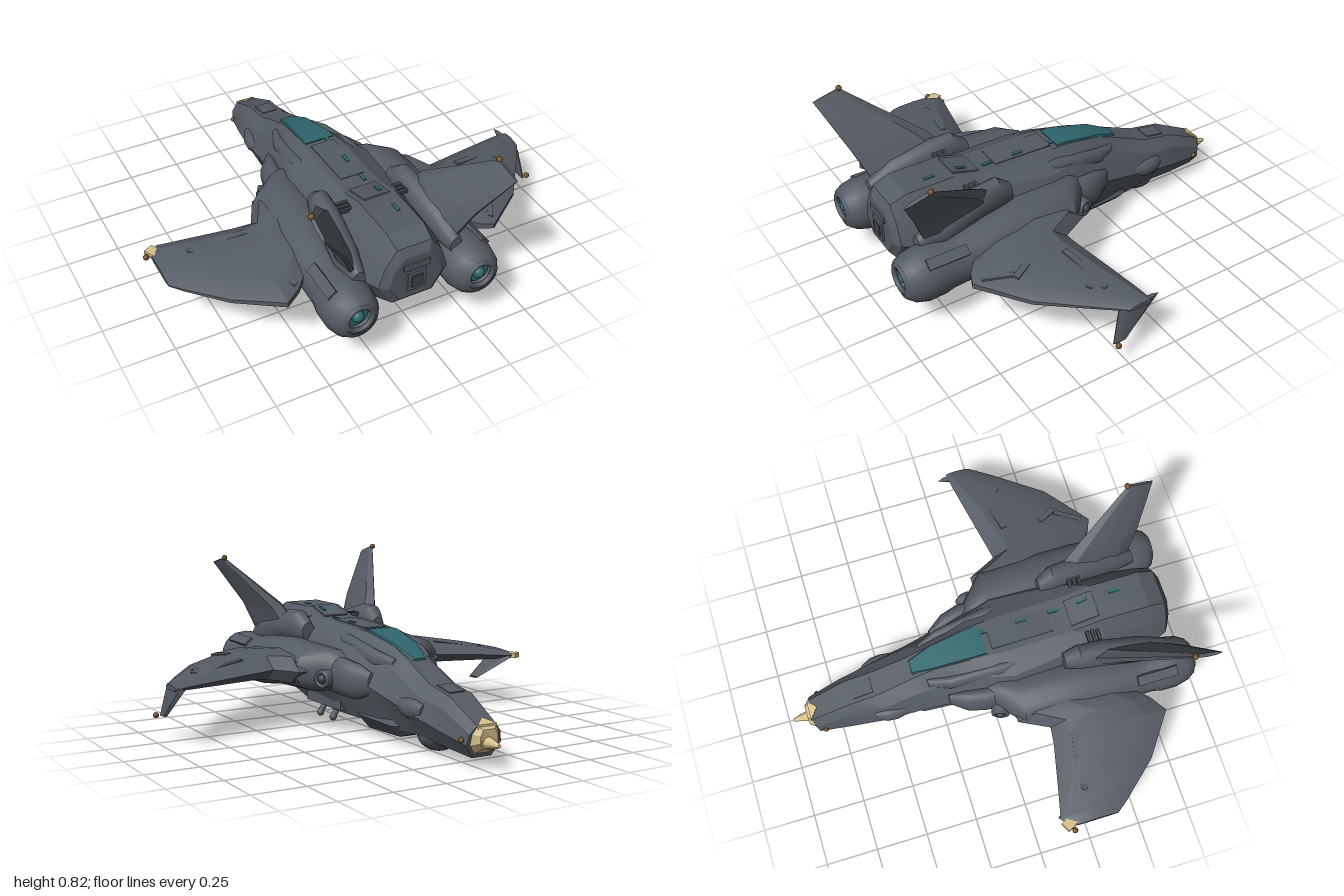
import * as THREE from 'three';
import { toCreasedNormals } from 'three/addons/utils/BufferGeometryUtils.js';

const mat = (color) => new THREE.MeshStandardMaterial({ color });
const hull = mat(0x555b63), dark = mat(0x3f444b), teal = mat(0x2f666e);
const cream = mat(0xd9c08c), amber = mat(0x6e4c22);
const V = (x, y, z) => new THREE.Vector3(x, y, z);

// Skin a row of equal-sized rings, cap both ends, and keep the faces outward
function loft(rings, crease = 0.5) {
  const n = rings[0].length, pts = rings.flat(), idx = [];
  for (let i = 0; i < rings.length - 1; i++)
    for (let j = 0; j < n; j++) {
      const a = i * n + j, b = i * n + (j + 1) % n;
      idx.push(a, b, a + n, b, b + n, a + n);
    }
  const e = (rings.length - 1) * n;
  for (let j = 1; j < n - 1; j++) idx.push(0, j + 1, j, e, e + j, e + j + 1);
  let volume = 0;
  for (let k = 0; k < idx.length; k += 3)
    volume += pts[idx[k]].dot(V(0, 0, 0).crossVectors(pts[idx[k + 1]], pts[idx[k + 2]]));
  if (volume < 0) idx.reverse();
  const g = new THREE.BufferGeometry().setFromPoints(pts);
  g.setIndex(idx);
  return toCreasedNormals(g, crease);
}

function add(parent, name, geometry, material, x = 0, y = 0, z = 0, rx = 0, ry = 0, rz = 0) {
  const m = new THREE.Mesh(geometry, material);
  m.name = name;
  m.position.set(x, y, z);
  m.rotation.set(rx, ry, rz);
  parent.add(m);
  return m;
}
const box = (w, h, d) => new THREE.BoxGeometry(w, h, d);
const rod = (r1, r2, h, n = 16) => new THREE.CylinderGeometry(r1, r2, h, n);
const ball = (r) => new THREE.SphereGeometry(r, 20, 14);

// Mirrored ring from half-section points [x, y, z offset], listed top to bottom
const mirrored = ([z, ...half]) => [
  ...half.map(([x, y, dz = 0]) => V(x, y, z + dz)),
  ...half.slice().reverse().map(([x, y, dz = 0]) => V(-x, y, z + dz))];

// Round ring [z, centre x, centre y, radius x, radius y]
const oval = (s) => ([z, cx, cy, rx, ry]) => Array.from({ length: 20 }, (_, i) => {
  const a = i / 20 * Math.PI * 2;
  return V(s * cx + rx * Math.cos(a), cy + ry * Math.sin(a), z);
});

// Thin wing section between a leading and a trailing point
function foil(le, te, up, t) {
  const at = (k, h) => le.clone().lerp(te, k).addScaledVector(up, h * t);
  return [at(0, 0), at(0.15, 0.8), at(0.45, 1), at(0.8, 0.75), at(1, 0.2),
    at(1, -0.2), at(0.8, -0.7), at(0.15, -0.8)];
}
// Blade through stations [leading point, trailing point, half thickness]
function blade(stations) {
  const [a, b] = stations[0], c = stations.at(-1)[0];
  const up = b.clone().sub(a).cross(c.clone().sub(a)).normalize();
  return loft(stations.map(([l, t, h]) => foil(l, t, up, h)), 0.3);
}

export function createModel() {
  const root = new THREE.Group();
  root.name = 'starfighter';
  const body = new THREE.Group();
  body.name = 'body';
  body.position.x = -0.035;
  root.add(body);

  // Fuselage
  add(body, 'fuselage', loft([
    [-0.88, [0.05, 0.185], [0.08, 0.15, 0.01], [0.09, 0.10, 0.02], [0.05, 0.04, 0.035]],
    [-0.69, [0.06, 0.28], [0.10, 0.23], [0.125, 0.14], [0.08, 0.06]],
    [-0.53, [0.06, 0.31], [0.12, 0.26], [0.155, 0.18], [0.10, 0.08]],
    [-0.36, [0.055, 0.385], [0.12, 0.33], [0.17, 0.22], [0.11, 0.07]],
    [-0.25, [0.06, 0.435], [0.13, 0.36], [0.185, 0.25], [0.13, 0.08]],
    [-0.05, [0.08, 0.48], [0.16, 0.42], [0.23, 0.30], [0.15, 0.08]],
    [0.10, [0.09, 0.49], [0.20, 0.43], [0.28, 0.30], [0.17, 0.085]],
    [0.42, [0.09, 0.50], [0.17, 0.46], [0.26, 0.30], [0.17, 0.10]],
    [0.56, [0.09, 0.54], [0.15, 0.47], [0.23, 0.32], [0.16, 0.125]],
    [0.80, [0.09, 0.54], [0.15, 0.45], [0.20, 0.32], [0.12, 0.19]],
    [0.88, [0.085, 0.51], [0.14, 0.43], [0.17, 0.33], [0.10, 0.22]],
    [0.905, [0.06, 0.47], [0.11, 0.41], [0.13, 0.33], [0.08, 0.25]],
  ].map(mirrored), 0.35), hull);
  add(body, 'bellyPod', loft([
    [-0.42, [0.07, 0.12], [0.10, 0.10], [0.07, 0.06]],
    [-0.34, [0.12, 0.14], [0.14, 0.09], [0.09, 0.035]],
    [-0.08, [0.14, 0.14], [0.16, 0.10], [0.10, 0.03]],
    [0.0, [0.14, 0.14], [0.15, 0.12], [0.10, 0.075]],
  ].map(mirrored), 0.4), hull);
  add(body, 'chinTurret', ball(0.1), hull, 0, 0.085, -0.52).scale.set(1, 0.85, 1);
  add(body, 'bellyPanel', box(0.2, 0.02, 0.3), hull, 0, 0.088, 0.22, -0.04);

  // Canopy and spine
  add(body, 'canopy', loft([
    [-0.36, [0.03, 0.394], [0.045, 0.37]],
    [-0.25, [0.055, 0.444], [0.065, 0.41]],
    [-0.05, [0.072, 0.488], [0.08, 0.45]],
    [0.0, [0.072, 0.489], [0.08, 0.46]],
  ].map(mirrored), 0.3), teal);
  add(body, 'spinePanel', box(0.12, 0.014, 0.3), hull, 0, 0.489, 0.18, -0.03);
  for (const [y, z, tilt] of [[0.485, 0.025, 0], [0.495, 0.2, 0], [0.497, 0.36, 0], [0.53, 0.5, -0.28], [0.538, 0.66, 0]])
    add(body, 'spineLight', box(0.016, 0.012, 0.05), teal, 0.035, y, z, tilt);
  add(body, 'deckHatch', box(0.13, 0.02, 0.14), hull, 0, 0.517, 0.49, -0.28);
  add(body, 'noseHatch', box(0.08, 0.01, 0.1), hull, 0, 0.295, -0.61, -0.185);

  // Nose tip with probe
  add(body, 'noseTip', loft([
    [-0.875, [0.052, 0.188], [0.075, 0.15, 0.01], [0.075, 0.10, 0.02], [0.04, 0.055, 0.03]],
    [-0.9, [0.03, 0.17], [0.045, 0.145], [0.045, 0.11], [0.03, 0.085, 0.01]],
  ].map(mirrored), 0.3), cream);
  add(body, 'nosePatch', loft([
    [-0.885, [0.05, 0.19], [0.05, 0.17]], [-0.845, [0.004, 0.21], [0.004, 0.18]],
  ].map(mirrored)), cream);
  add(body, 'noseProbe', rod(0.008, 0.03, 0.08, 8), cream, 0, 0.11, -0.93, -Math.PI / 2);

  // Tail panel
  add(body, 'tailFrame', box(0.09, 0.1, 0.03), hull, 0, 0.34, 0.9);
  add(body, 'tailVent', box(0.055, 0.06, 0.03), dark, 0, 0.34, 0.905);
  add(body, 'tailLip', box(0.13, 0.03, 0.04), hull, 0, 0.42, 0.892);

  for (const s of [-1, 1]) {
    // Engine nacelle with bulbous nozzle
    add(body, 'nacelle', loft([
      [-0.06, 0.18, 0.29, 0.04, 0.06], [0.02, 0.22, 0.3, 0.09, 0.1],
      [0.1, 0.26, 0.3, 0.14, 0.11], [0.4, 0.28, 0.3, 0.14, 0.12],
      [0.58, 0.30, 0.28, 0.12, 0.125], [0.68, 0.30, 0.27, 0.115, 0.12],
      [0.74, 0.30, 0.265, 0.115, 0.12], [0.79, 0.30, 0.265, 0.125, 0.13],
      [0.86, 0.30, 0.262, 0.125, 0.13], [0.92, 0.30, 0.265, 0.112, 0.115],
      [0.955, 0.30, 0.27, 0.09, 0.092], [0.965, 0.30, 0.275, 0.07, 0.07],
      [0.92, 0.30, 0.275, 0.055, 0.055],
    ].map(oval(s)), 0.6), hull);
    add(body, 'nozzleRing', new THREE.TorusGeometry(0.062, 0.012, 10, 28), hull, s * 0.3, 0.28, 0.957);
    add(body, 'nozzleGlow', rod(0.052, 0.052, 0.02, 24), teal, s * 0.3, 0.28, 0.925, Math.PI / 2);
    add(body, 'nozzleCore', ball(0.028), teal, s * 0.3, 0.28, 0.938);
    add(body, 'nacelleRib', box(0.05, 0.04, 0.2), hull, s * 0.37, 0.355, 0.76, 0, 0, -s * 0.7);

    // Shoulder port
    const port = new THREE.Group();
    port.name = 'shoulderPort';
    port.position.set(s * 0.27, 0.27, 0.01);
    port.rotation.y = s * 1.9;
    body.add(port);
    add(port, 'portBarrel', rod(0.042, 0.048, 0.07, 20), hull, 0, 0, 0.01, Math.PI / 2);
    add(port, 'portRing', new THREE.TorusGeometry(0.034, 0.01, 8, 24), hull, 0, 0, 0.045);
    add(port, 'portLens', ball(0.022), dark, 0, 0, 0.045);

    // Side fairings, dorsal vents and small fittings
    add(body, 'cheek', loft([
      [-0.58, 0.12, 0.2, 0.02, 0.03], [-0.53, 0.13, 0.2, 0.035, 0.045],
      [-0.48, 0.135, 0.2, 0.035, 0.045], [-0.42, 0.14, 0.21, 0.02, 0.03]].map(oval(s)), 0.6), hull);
    add(body, 'intakeFairing', loft([
      [-0.22, 0.17, 0.27, 0.02, 0.05], [-0.14, 0.2, 0.27, 0.05, 0.085],
      [-0.05, 0.22, 0.28, 0.055, 0.09], [0.04, 0.22, 0.28, 0.05, 0.09]].map(oval(s)), 0.6), hull);
    add(body, 'canopyFairing', loft([
      [-0.3, 0.09, 0.36, 0.02, 0.03], [-0.2, 0.12, 0.37, 0.03, 0.045],
      [0.05, 0.14, 0.42, 0.035, 0.045], [0.15, 0.14, 0.43, 0.02, 0.03]].map(oval(s)), 0.6), hull);
    add(body, 'finFairing', loft([
      [0.34, 0.2, 0.44, 0.035, 0.05], [0.41, 0.21, 0.465, 0.055, 0.08],
      [0.52, 0.22, 0.46, 0.06, 0.08], [0.72, 0.24, 0.41, 0.06, 0.08],
      [0.84, 0.24, 0.38, 0.03, 0.04]].map(oval(s)), 0.6), hull);
    for (let i = 0; i < 3; i++) add(body, 'dorsalVent', box(0.06, 0.016, 0.015), dark, s * 0.14, 0.495, 0.48 + i * 0.025);
    for (const z of [0.19, 0.32]) {
      add(body, 'bellyStrut', rod(0.015, 0.015, 0.06, 10), hull, s * 0.13, 0.065, z, 0, 0, s * 0.6);
      add(body, 'strutFoot', ball(0.018), hull, s * 0.147, 0.036, z);
    }
    add(body, 'chinGun', rod(0.01, 0.01, 0.14, 8), hull, s * 0.06, 0.06, -0.6, Math.PI / 2);
    add(body, 'bellyRail', box(0.05, 0.05, 0.34), hull, s * 0.17, 0.125, 0.2);
    add(body, 'noseLamp', ball(0.013), amber, s * 0.095, 0.12, -0.83);
  }
  add(body, 'bellyLamp', ball(0.013), amber, 0.03, 0.055, -0.03);

  // Wings: [x, leading z, trailing z, y, half thickness]
  const wings = {
    rightWing: [[-0.2, 0.05, 0.62, 0.30, 0.09], [-0.42, 0.06, 0.62, 0.30, 0.08], [-0.49, 0.2, 0.7, 0.295, 0.072],
      [-0.57, 0.19, 0.755, 0.29, 0.062], [-0.77, 0.145, 0.61, 0.277, 0.045], [-0.92, 0.11, 0.44, 0.265, 0.026], [-0.965, 0.16, 0.38, 0.26, 0.014]],
    leftWing: [[0.15, 0.05, 0.62, 0.30, 0.09], [0.36, 0.06, 0.64, 0.30, 0.08], [0.43, 0.2, 0.7, 0.297, 0.072],
      [0.49, 0.19, 0.725, 0.293, 0.062], [0.71, 0.15, 0.56, 0.283, 0.045], [0.88, 0.12, 0.34, 0.274, 0.026], [0.96, 0.11, 0.23, 0.267, 0.014]],
  };
  for (const [name, st] of Object.entries(wings))
    add(root, name, loft(st.map(([x, a, b, y, t]) => foil(V(x, y, a), V(x, y, b), V(0, 1, 0), t)), 0.35), hull);

  // Raised wing panels
  for (const s of [-1, 1]) {
    const tilt = -s * 0.15;
    add(root, 'wingPanel', box(0.16, 0.014, 0.03), hull, s * 0.63, 0.328, 0.28, 0, s * 0.2, tilt);
    add(root, 'wingPanel', box(0.03, 0.014, 0.1), hull, s * 0.56, 0.336, 0.52, 0.1, s * 0.5, tilt);
    add(root, 'wingPanel', box(0.03, 0.014, 0.06), hull, s * 0.77, 0.31, 0.3, 0, s * 0.6, tilt);
    add(root, 'wingStud', rod(0.016, 0.018, 0.02), hull, s * 0.81, 0.302, 0.26);
    add(root, 'flapRail', box(0.024, 0.024, 0.14), hull, s * 0.53, 0.32, 0.62, 0.15, -s * 0.5, 0);
  }

  // Tail fins
  add(root, 'rightFin', blade([
    [V(-0.23, 0.42, 0.38), V(-0.28, 0.38, 0.8), 0.055],
    [V(-0.315, 0.56, 0.51), V(-0.36, 0.55, 0.87), 0.036],
    [V(-0.5, 0.81, 0.84), V(-0.505, 0.775, 0.97), 0.01]]), hull);
  add(root, 'leftFin', blade([
    [V(0.16, 0.42, 0.38), V(0.21, 0.38, 0.8), 0.055],
    [V(0.225, 0.56, 0.51), V(0.27, 0.55, 0.87), 0.036],
    [V(0.39, 0.785, 0.84), V(0.395, 0.755, 0.97), 0.01]]), hull);

  // Drooped winglets
  add(root, 'rightWinglet', blade([
    [V(-0.91, 0.26, 0.1), V(-0.91, 0.26, 0.29), 0.013], [V(-0.79, 0.14, 0.24), V(-0.79, 0.135, 0.31), 0.008]]), hull);
  add(root, 'leftWinglet', blade([
    [V(0.935, 0.27, 0.06), V(0.935, 0.27, 0.27), 0.015], [V(0.96, 0.12, 0.24), V(0.96, 0.115, 0.31), 0.01]]), hull);
  add(root, 'wingtipPatch', box(0.05, 0.025, 0.07), cream, -0.945, 0.262, 0.15, 0, 0.5, 0);

  // Marker lamps
  for (const [x, y, z] of [[-0.985, 0.26, 0.16], [0.985, 0.12, 0.3], [-0.5, 0.81, 0.84], [0.39, 0.785, 0.84]])
    add(root, 'markerLamp', ball(0.014), amber, x, y, z);
  return root;
}
